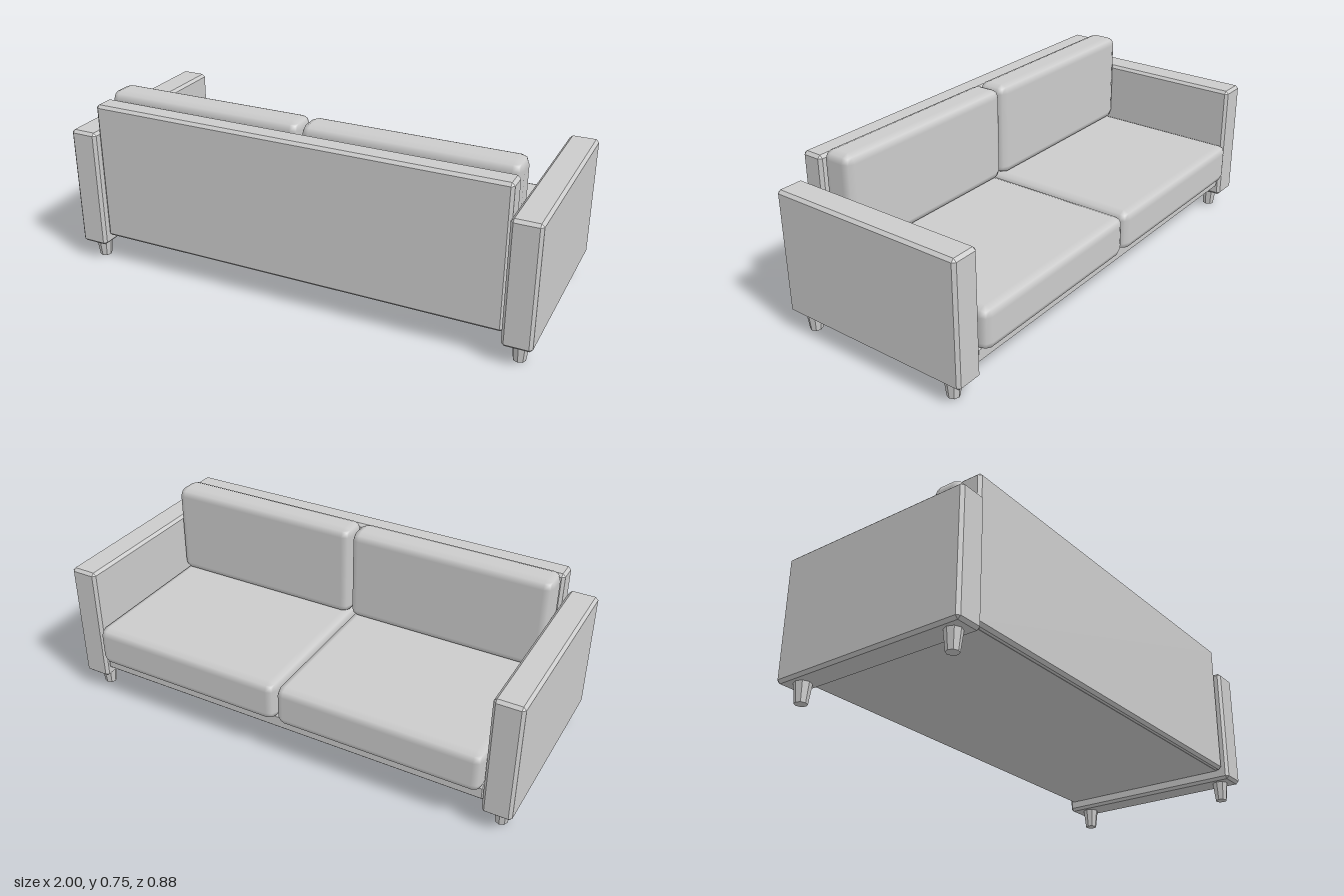
import * as THREE from 'three';
import { RoundedBoxGeometry } from 'three/addons/geometries/RoundedBoxGeometry.js';
import { ConvexGeometry } from 'three/addons/geometries/ConvexGeometry.js';

const material = new THREE.MeshStandardMaterial({ color: 0xcccccc });

// Box with a single flat chamfer along every edge
function chamferedBox(w, h, d, c) {
  const points = [];
  for (const x of [-1, 1]) for (const y of [-1, 1]) for (const z of [-1, 1]) {
    for (let flat = 0; flat < 3; flat++) {
      points.push(new THREE.Vector3(
        x * (w / 2 - (flat === 0 ? 0 : c)),
        y * (h / 2 - (flat === 1 ? 0 : c)),
        z * (d / 2 - (flat === 2 ? 0 : c))));
    }
  }
  return new ConvexGeometry(points);
}

export function createModel() {
  const sofa = new THREE.Group();
  sofa.name = 'sofa';

  const add = (name, geometry, x, y, z) => {
    const mesh = new THREE.Mesh(geometry, material);
    mesh.name = name;
    mesh.position.set(x, y, z);
    sofa.add(mesh);
    return mesh;
  };
  // Places a part by its lower and upper bounds
  const addBounds = (name, make, [x0, x1], [y0, y1], [z0, z1]) =>
    add(name, make(x1 - x0, y1 - y0, z1 - z0), (x0 + x1) / 2, (y0 + y1) / 2, (z0 + z1) / 2);

  const frame = (w, h, d) => chamferedBox(w, h, d, 0.012);
  const cushion = (w, h, d) => new RoundedBoxGeometry(w, h, d, 1, 0.036);

  // Frame: seat base and the panel behind the cushions
  addBounds('seatBase', frame, [-0.885, 0.885], [0.12, 0.19], [-0.4, 0.4]);
  addBounds('backrest', frame, [-0.88, 0.88], [0.121, 0.72], [0.322, 0.415]);

  // Mirrored arms, cushions and legs; the seat opens towards -z
  const legGeometry = new THREE.CylinderGeometry(0.035, 0.025, 0.085, 8).toNonIndexed();
  legGeometry.computeVertexNormals();
  for (const [side, s] of [['left', 1], ['right', -1]]) {
    const span = (a, b) => (s > 0 ? [a, b] : [-b, -a]);
    addBounds(side + 'Arm', frame, span(0.88, 1), [0.08, 0.6], [-0.415, 0.44]);
    addBounds(side + 'SeatCushion', cushion, span(0.004, 0.876), [0.175, 0.35], [-0.44, 0.318]);
    addBounds(side + 'BackCushion', cushion, span(0.004, 0.876), [0.345, 0.75], [0.182, 0.316]);
    add(side + 'FrontLeg', legGeometry, s * 0.94, 0.0425, -0.335);
    add(side + 'RearLeg', legGeometry, s * 0.94, 0.0425, 0.37);
  }
  return sofa;
}
